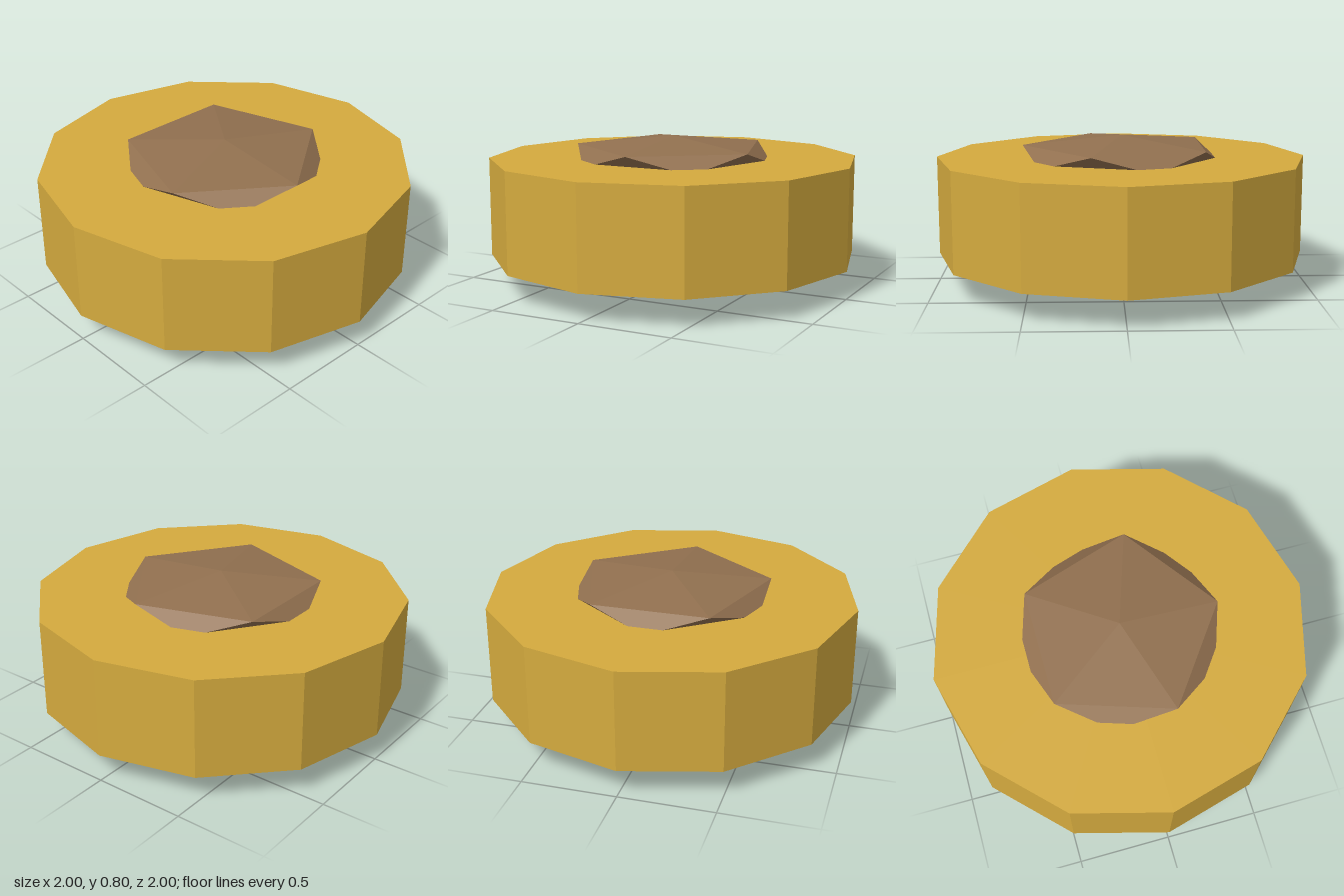
import * as THREE from 'three';

export function createModel() {
  const model = new THREE.Group();

  const gold = new THREE.MeshStandardMaterial({ color: 0xd4aa3e, flatShading: true });
  gold.name = 'gold';
  const brown = new THREE.MeshStandardMaterial({ color: 0x91704f, flatShading: true });
  brown.name = 'brown';

  // Twelve-sided disc
  const bottom = 0.147, top = 0.683;
  const disc = new THREE.Mesh(new THREE.CylinderGeometry(1, 1, top - bottom, 12), gold);
  disc.name = 'disc';
  disc.position.y = (bottom + top) / 2;
  model.add(disc);

  // Squashed icosahedron studs, each standing on a corner and sunk into the disc
  const radius = 0.598, halfHeight = 0.098;
  const studGeometry = new THREE.IcosahedronGeometry(radius, 0);
  studGeometry.rotateZ(-Math.atan(2 / (1 + Math.sqrt(5))));
  studGeometry.scale(1, halfHeight / radius, 1);
  studGeometry.computeVertexNormals();

  for (const [name, y] of [['topStud', 0.701], ['bottomStud', halfHeight]]) {
    const stud = new THREE.Mesh(studGeometry, brown);
    stud.name = name;
    stud.position.y = y;
    model.add(stud);
  }

  return model;
}
